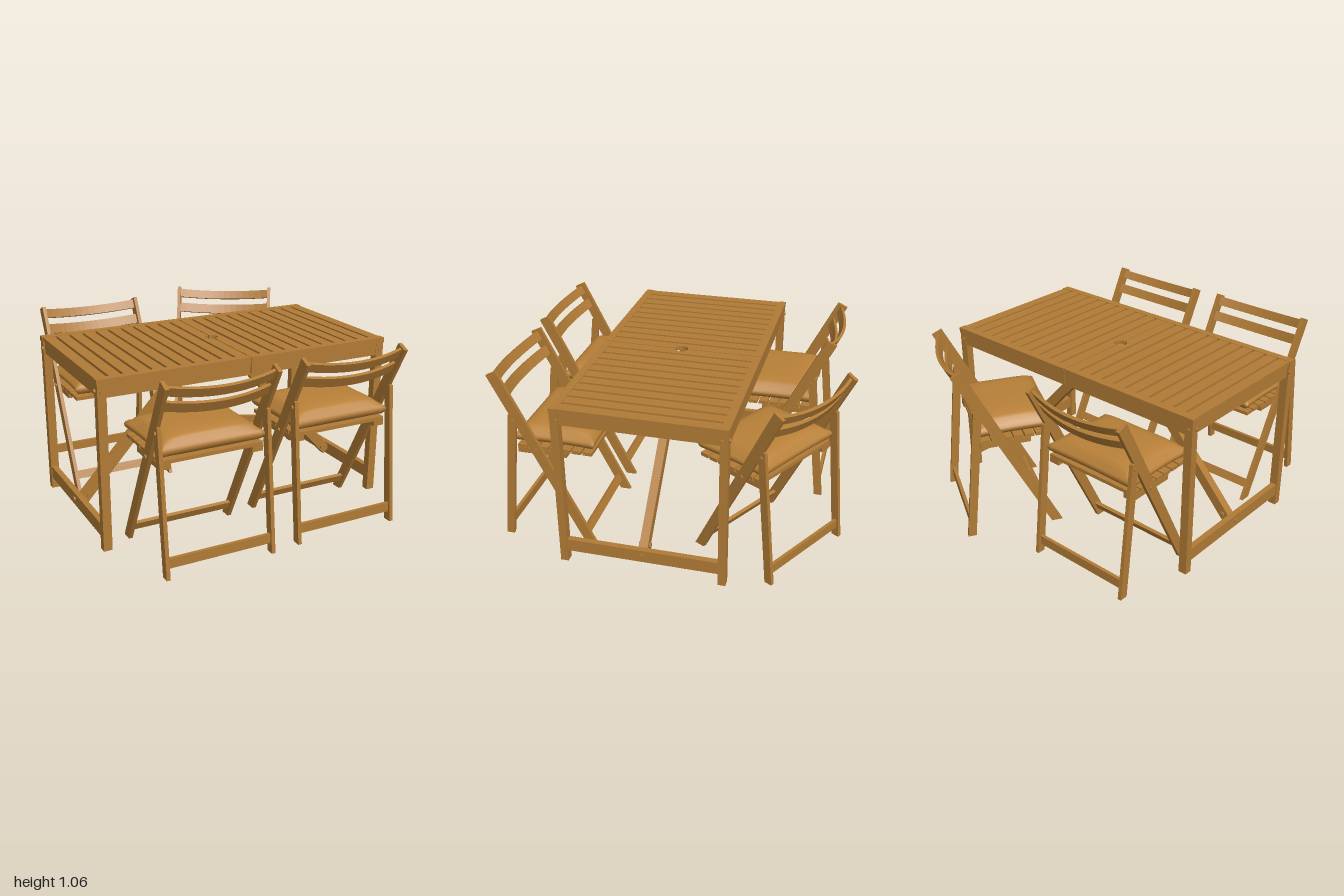
import * as THREE from 'three';
import { mergeVertices } from 'three/addons/utils/BufferGeometryUtils.js';

const wood = new THREE.MeshStandardMaterial({ color: 0xb07a35 });
const fabric = new THREE.MeshStandardMaterial({ color: 0xb88038 });

function add(parent, name, geometry, material = wood) {
  const mesh = new THREE.Mesh(geometry, material);
  mesh.name = name;
  parent.add(mesh);
  return mesh;
}

// box given by its min and max on each axis
function box(parent, name, x0, x1, y0, y1, z0, z1) {
  const mesh = add(parent, name, new THREE.BoxGeometry(x1 - x0, y1 - y0, z1 - z0));
  mesh.position.set((x0 + x1) / 2, (y0 + y1) / 2, (z0 + z1) / 2);
  return mesh;
}

// bolt head along the x or z axis
function bolt(parent, x, y, z, alongX, r = 0.012, length = 0.012) {
  const mesh = add(parent, 'bolt', new THREE.CylinderGeometry(r, r, length, 12));
  if (alongX) mesh.rotation.z = Math.PI / 2;
  else mesh.rotation.x = Math.PI / 2;
  mesh.position.set(x, y, z);
}

// side profile in (z, y), extruded across x and centred on x = 0
function sideProfile(points, width) {
  const shape = new THREE.Shape(points.map(p => new THREE.Vector2(...p)));
  const g = new THREE.ExtrudeGeometry(shape, { depth: width, bevelEnabled: false });
  return g.translate(0, 0, -width / 2).rotateY(-Math.PI / 2);
}

// back slat bowed to the rear
function bowedSlat(halfWidth, bow, thick, height) {
  const shape = new THREE.Shape();
  const n = 14;
  const pts = [];
  for (let side = 0; side < 2; side++) {
    for (let i = 0; i <= n; i++) {
      const u = (side ? 1 - 2 * i / n : -1 + 2 * i / n);
      pts.push(new THREE.Vector2(u * halfWidth, -bow * (1 - u * u) + (side ? thick / 2 : -thick / 2)));
    }
  }
  shape.setFromPoints(pts);
  const g = new THREE.ExtrudeGeometry(shape, { depth: height, bevelEnabled: false });
  return g.translate(0, 0, -height / 2).rotateX(Math.PI / 2);
}

// soft pillow: a box swollen in the middle and rounded at the rim
function pillow(width, depth) {
  let g = new THREE.BoxGeometry(2, 2, 2, 24, 6, 24);
  g.deleteAttribute('uv');
  g.deleteAttribute('normal');
  g = mergeVertices(g);
  const p = g.attributes.position;
  for (let i = 0; i < p.count; i++) {
    const u = p.getX(i), w = p.getY(i), v = p.getZ(i);
    const swell = Math.sqrt(Math.max(0, (1 - u ** 4) * (1 - v ** 4)));
    const round = 1 - 0.07 * w * w;
    const pinchX = 1 - 0.04 * (1 - v * v), pinchZ = 1 - 0.03 * (1 - u * u);
    const y = w > 0 ? w * (0.025 + 0.05 * swell) : w * (0.03 + 0.02 * swell);
    p.setXYZ(i, u * round * pinchX * width / 2, y, v * round * pinchZ * depth / 2);
  }
  g.computeVertexNormals();
  return g;
}

// folding chair facing +z
function createChair(x, z, turn) {
  const chair = new THREE.Group();
  chair.name = 'foldingChair';
  const postZ = y => 0.2525 - 0.507 * y;
  const tilt = -Math.atan(0.507);

  for (const s of [-1, 1]) {
    const post = add(chair, 'backPost', sideProfile(
      [[0.22, 0], [0.285, 0], [-0.25, 1.063], [-0.308, 1.035]], 0.022));
    post.position.x = s * 0.312;
    const leg = add(chair, 'rearLeg', sideProfile(
      [[-0.29, 0], [-0.242, 0], [-0.155, 0.8], [-0.165, 0.815], [-0.203, 0.805]], 0.022));
    leg.position.x = s * 0.312;
    bolt(chair, s * 0.325, 0.6, postZ(0.6), true);
    bolt(chair, s * 0.325, 0.77, -0.18, true);
    const inner = s * 0.235, outer = s * 0.3;
    box(chair, 'seatRunner', Math.min(inner, outer), Math.max(inner, outer), 0.562, 0.592, -0.17, 0.12);
  }

  // rungs
  const front = box(chair, 'frontRung', -0.302, 0.302, 0.055, 0.105, -0.01, 0.01);
  front.position.z = postZ(0.08);
  front.rotation.x = tilt;
  box(chair, 'rearRung', -0.302, 0.302, 0.055, 0.11, -0.268, -0.248);

  // seat slats
  const slats = 7, pitch = 0.45 / slats;
  for (let i = 0; i < slats; i++) {
    const z0 = -0.17 + i * pitch;
    box(chair, 'seatSlat', -0.298, 0.298, 0.592, 0.612, z0, z0 + pitch - 0.01);
  }

  // backrest
  for (const [y, h] of [[1.015, 0.055], [0.925, 0.06]]) {
    const slat = add(chair, 'backSlat', bowedSlat(0.302, 0.05, 0.018, h));
    slat.position.set(0, y, postZ(y));
    slat.rotation.x = tilt;
  }

  const cushion = add(chair, 'cushion', pillow(0.61, 0.47), fabric);
  cushion.position.set(0, 0.662, 0.05);

  chair.position.set(x, 0, z);
  chair.rotation.y = turn;
  return chair;
}

// slatted table, centred on its own z = 0
function createTable() {
  const table = new THREE.Group();
  table.name = 'table';
  const W = 0.903, D = 0.483, holeR = 0.036;

  for (const s of [-1, 1]) {
    const span = (a, b) => (s > 0 ? [a, b] : [-b, -a]);
    // legs, end frame and long aprons
    for (const t of [-1, 1]) {
      const zs = (a, b) => (t > 0 ? [a, b] : [-b, -a]);
      box(table, 'tableLeg', ...span(0.85, 0.9), 0, 0.95, ...zs(0.435, 0.48));
      box(table, 'topRail', ...span(0.002, W), 0.95, 0.98, ...zs(0.437, D));
      box(table, 'longApron', ...span(0.002, 0.85), 0.877, 0.95, ...zs(0.455, 0.478));
      bolt(table, s * 0.903, 0.91, t * 0.445, true);
      bolt(table, s * 0.875, 0.91, t * 0.482, false);
    }
    box(table, 'endApron', ...span(0.865, 0.89), 0.88, 0.95, -0.436, 0.436);
    box(table, 'endRail', ...span(0.86, 0.895), 0.07, 0.145, -0.436, 0.436);
    bolt(table, s * 0.898, 0.11, 0, true, 0.014);

    // top slats; the innermost is notched around the parasol hole
    for (let i = 1; i < 11; i++) {
      const c = 0.037 + i * 0.0828;
      box(table, 'topSlat', ...span(c - 0.033, c + 0.033), 0.955, 0.978, -0.438, 0.438);
    }
    const half = new THREE.Shape();
    half.moveTo(0.003, -0.438);
    half.lineTo(0.07, -0.438);
    half.lineTo(0.07, 0.438);
    half.lineTo(0.003, 0.438);
    half.lineTo(0.003, holeR);
    half.absarc(0.003, 0, holeR, Math.PI / 2, -Math.PI / 2, true);
    half.closePath();
    const g = new THREE.ExtrudeGeometry(half, { depth: 0.023, bevelEnabled: false, curveSegments: 16 });
    g.rotateX(-Math.PI / 2);
    if (s < 0) g.rotateY(Math.PI);
    add(table, 'middleSlat', g).position.y = 0.955;

    // centre beam under the slats
    box(table, 'centreBeam', ...span(holeR + 0.004, 0.865), 0.915, 0.955, -0.025, 0.025);

    // diagonal brace
    const a = new THREE.Vector2(0.85, 0.1), b = new THREE.Vector2(0.11, 0.905);
    const d = b.clone().sub(a);
    const brace = add(table, 'diagonalBrace', new THREE.BoxGeometry(d.length(), 0.062, 0.05));
    brace.position.set(s * (a.x + b.x) / 2, (a.y + b.y) / 2, 0);
    brace.rotation.z = s * Math.atan2(d.y, d.x);
    for (const t of [-1, 1]) bolt(table, s * 0.815, 0.13, t * 0.028, false, 0.016);

    // tie boards on both faces of the braces
    box(table, 'tieBoard', -0.25, 0.25, 0.78, 0.826, ...span(0.038, 0.061));
  }
  return table;
}

export function createModel() {
  const set = new THREE.Group();
  set.name = 'diningSet';
  const table = createTable();
  table.position.z = 0.072;
  set.add(table);
  set.add(createChair(-0.4, 0.695, Math.PI));
  set.add(createChair(0.405, 0.675, Math.PI));
  set.add(createChair(-0.45, -0.52, 0));
  set.add(createChair(0.41, -0.56, -0.52));
  return set;
}
